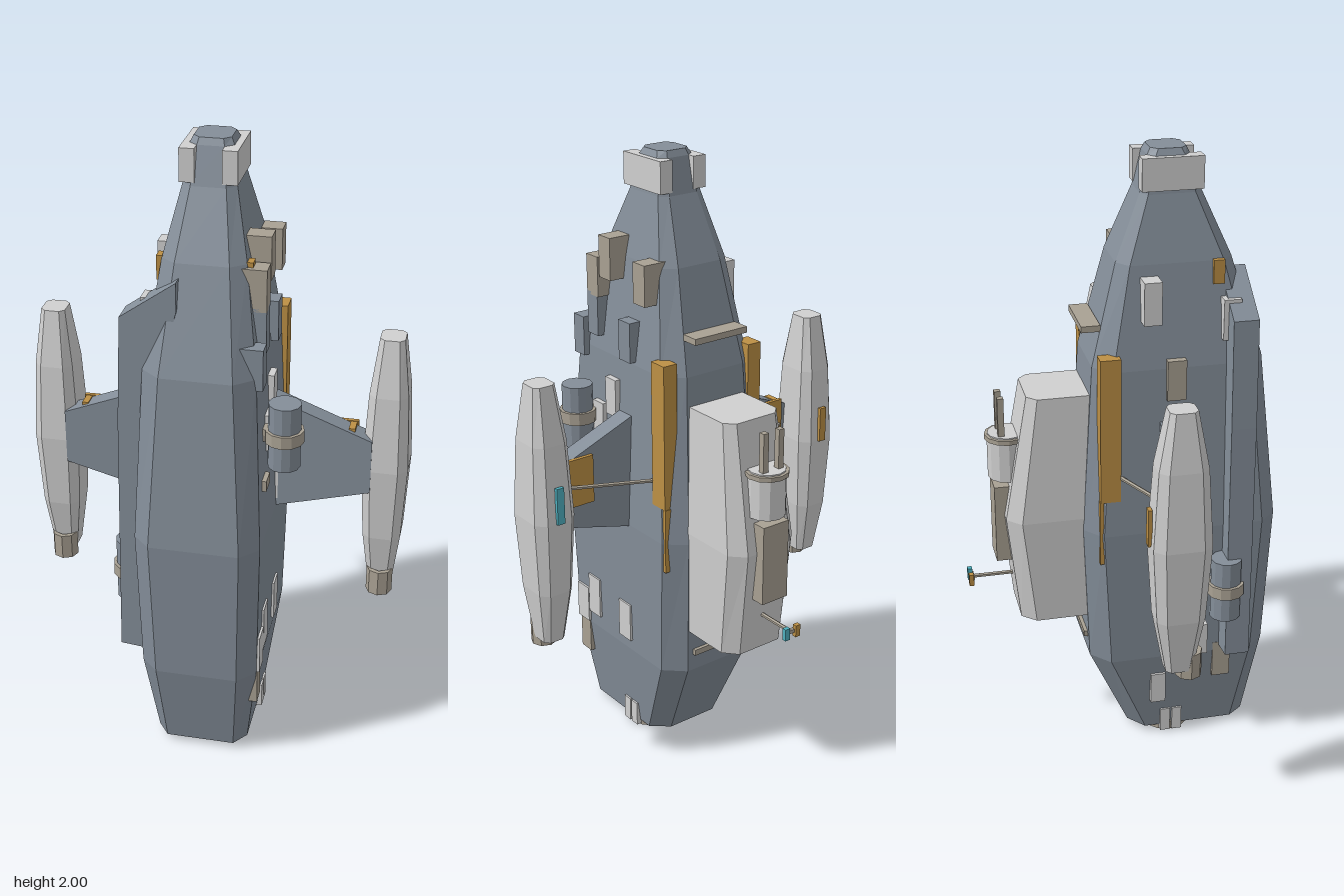
import * as THREE from 'three';

const mat = (name, color, side = THREE.FrontSide) => {
  const m = new THREE.MeshStandardMaterial({ color, flatShading: true, side });
  m.name = name;
  return m;
};

export function createModel() {
  const hullGrey = mat('hull grey', 0x848e99);
  const lightGrey = mat('light grey', 0xd0d0d0);
  const tan = mat('warm grey', 0xa9a193);
  const orange = mat('orange', 0xbd9045);
  const teal = mat('teal', 0x4fb0bf);
  const root = new THREE.Group();
  root.name = 'spaceship';

  const add = (name, geo, material, x = 0, y = 0, z = 0) => {
    const m = new THREE.Mesh(geo, material);
    m.name = name;
    m.position.set(x, y, z);
    root.add(m);
    return m;
  };
  // Box given by its extents on each axis
  const box = (name, material, [x0, x1], [y0, y1], [z0, z1]) =>
    add(name, new THREE.BoxGeometry(Math.abs(x1 - x0), y1 - y0, z1 - z0), material,
      (x0 + x1) / 2, (y0 + y1) / 2, (z0 + z1) / 2);
  // Round bar between two points
  const rod = (name, material, a, b, r) => {
    const p = new THREE.Vector3(...a), q = new THREE.Vector3(...b), d = q.clone().sub(p);
    const m = add(name, new THREE.CylinderGeometry(r, r, d.length(), 6), material);
    m.position.copy(p).add(q).multiplyScalar(0.5);
    m.quaternion.setFromUnitVectors(new THREE.Vector3(0, 1, 0), d.normalize());
    return m;
  };
  // Capped loft through rings of eight corners, from bottom to top.
  // Section: y, front half width, half width, front z, front corner z, back corner z, back z, back half width
  const loft = (sections) => {
    const rings = sections.map(([y, f, w, zF, zFs, zBs, zB, b]) =>
      [[f, zF], [w, zFs], [w, zBs], [b, zB], [-b, zB], [-w, zBs], [-w, zFs], [-f, zF]]
        .map(([x, z]) => [x, y, z]));
    const pos = [];
    const tri = (...p) => p.forEach((v) => pos.push(...v));
    for (let k = 0; k + 1 < rings.length; k++) {
      const lo = rings[k], up = rings[k + 1];
      for (let i = 0; i < 8; i++) {
        const j = (i + 1) % 8;
        tri(lo[i], lo[j], up[j]);
        tri(lo[i], up[j], up[i]);
      }
    }
    const bottom = rings[0], top = rings[rings.length - 1];
    for (let i = 1; i < 7; i++) {
      tri(bottom[0], bottom[i + 1], bottom[i]);
      tri(top[0], top[i], top[i + 1]);
    }
    const g = new THREE.BufferGeometry();
    g.setAttribute('position', new THREE.Float32BufferAttribute(pos, 3));
    g.computeVertexNormals();
    return g;
  };
  // Hollow ring around the y axis
  const ring = (outer, inner, h, sides) => new THREE.LatheGeometry(
    [[inner, 0], [outer, 0], [outer, h], [inner, h], [inner, 0]].map((p) => new THREE.Vector2(...p)), sides);
  const plate = (points, depth) => new THREE.ExtrudeGeometry(
    new THREE.Shape(points.map((p) => new THREE.Vector2(...p))), { depth, bevelEnabled: false });

  // Main hull
  add('hull', loft([
    [0.02, 0.11, 0.148, 0.42, 0.37, 0.07, 0.02, 0.09],
    [0.32, 0.13, 0.185, 0.475, 0.42, -0.055, -0.115, 0.12],
    [0.8, 0.14, 0.195, 0.495, 0.44, -0.08, -0.135, 0.13],
    [1.35, 0.11, 0.17, 0.44, 0.39, -0.045, -0.1, 0.11],
    [1.67, 0.08, 0.125, 0.34, 0.305, 0.015, -0.02, 0.08],
    [1.87, 0.052, 0.08, 0.25, 0.225, 0.08, 0.06, 0.052],
    [1.98, 0.04, 0.065, 0.215, 0.195, 0.105, 0.085, 0.04],
    [2.0, 0.035, 0.055, 0.205, 0.185, 0.115, 0.095, 0.035],
  ]), hullGrey);

  // Rear housing
  add('rearHousing', loft([
    [0.475, 0.115, 0.12, -0.06, -0.07, -0.29, -0.335, 0.08],
    [0.84, 0.125, 0.13, -0.06, -0.07, -0.33, -0.375, 0.085],
    [1.255, 0.1, 0.105, -0.06, -0.07, -0.27, -0.3, 0.075],
  ]), lightGrey);
  box('rearEquipmentBox', tan, [-0.05, 0.05], [0.675, 0.94], [-0.405, -0.33]);
  add('turret', new THREE.CylinderGeometry(0.062, 0.062, 0.14, 12), lightGrey, 0, 1.03, -0.355);
  add('turretRim', new THREE.CylinderGeometry(0.07, 0.07, 0.015, 12), tan, 0, 1.1, -0.355);
  add('turretTop', new THREE.CylinderGeometry(0.06, 0.06, 0.006, 12), lightGrey, 0, 1.109, -0.355);
  rod('antenna', tan, [0, 0.6, -0.32], [0, 0.6, -0.485], 0.007);
  box('antennaCrossbar', tan, [-0.02, 0.02], [0.594, 0.606], [-0.488, -0.476]);
  for (const y of [0.39, 1.47]) box('rearRail', tan, [-0.1, 0.1], [y - 0.01, y + 0.01], [-0.13, -0.07]);

  // Parts repeated on both sides
  for (const s of [1, -1]) {
    const sx = (a, b) => [s * a, s * b];
    const accent = s > 0 ? teal : orange;
    box('noseBracket', lightGrey, sx(0.04, 0.085), [1.88, 1.98], [0.06, 0.25]);
    box('turretBarrel', tan, sx(0.02, 0.04), [1.1, 1.24], [-0.385, -0.365]);
    box('antennaTip', accent, sx(0.012, 0.03), [0.58, 0.62], [-0.495, -0.48]);

    // Engine pods
    const pod = (y, w, d) => [y, w * 0.6, w, d, d * 0.65, -d * 0.65, -d, w * 0.6];
    add('enginePod', loft([pod(0.515, 0.038, 0.042), pod(0.7, 0.06, 0.075), pod(0.95, 0.072, 0.09),
      pod(1.2, 0.06, 0.075), pod(1.38, 0.038, 0.042)]), lightGrey, s * 0.53, 0, 0.075);
    add('podNozzle', ring(0.042, 0.027, 0.085, 8), tan, s * 0.53, 0.485, 0.11);
    box('podMarker', accent, sx(0.517, 0.543), [0.95, 1.07], [-0.024, -0.012]);

    // Pylons with braces
    const pylon = [[0.12, 0.775], [0.49, 0.875], [0.49, 1.055], [0.12, 1.2]].map(([x, y]) => [s * x, y]);
    add('pylon', plate(pylon, 0.065), hullGrey, 0, 0, 0.1);
    box('pylonPanel', orange, sx(0.335, 0.44), [0.93, 1.09], [0.088, 0.101]);
    box('pylonCap', orange, sx(0.415, 0.435), [1.05, 1.088], [0.09, 0.15]);
    rod('pylonBrace', tan, [s * 0.18, 1, -0.025], [s * 0.43, 1, 0.09], 0.007);

    // Orange side strips
    box('sideStrip', orange, sx(0.14, 0.19), [0.92, 1.4], [-0.09, -0.025]);
    box('stripTail', orange, sx(0.15, 0.19), [0.7, 0.92], [-0.092, -0.08]);
    box('upperMarker', orange, sx(0.1, 0.142), [1.6, 1.675], [0.27, 0.305]);

    // Stern rings and fins
    add('sternRing', ring(0.08, 0.065, 0.03, 12), tan, s * 0.075, 0, 0.155);
    add('sternRingLiner', ring(0.065, 0.055, 0.025, 12), lightGrey, s * 0.075, 0.002, 0.155);
    for (const z of [0.12, 0.16]) box('sternFin', lightGrey, sx(0.13, 0.163), [0.005, 0.09], [z, z + 0.033]);

    // Side tanks, set at different heights
    const y = s > 0 ? 1.135 : 0.6;
    add('sideTank', new THREE.CylinderGeometry(0.05, 0.05, 0.21, 12), hullGrey, s * 0.242, y, 0.31);
    add('tankBand', new THREE.CylinderGeometry(0.06, 0.06, 0.04, 12), tan, s * 0.242, y, 0.31);
    box('tankMount', tan, sx(0.16, 0.2), [y - 0.02, y + 0.02], [0.29, 0.33]);
  }

  // Armour plate on one side
  add('armourPlate', plate([[-0.065, 1.63], [-0.235, 1.51], [-0.25, 1.16], [-0.265, 0.35],
    [-0.17, 0.34], [-0.13, 1.3], [-0.065, 1.54]], 0.08), hullGrey, 0, 0, 0.31);

  // Hull fittings: material, inner x, outer x, y range, z range
  const fittings = [
    [tan, 0.09, 0.185, 1.6, 1.735, 0.19, 0.25],
    [tan, 0.09, 0.185, 1.56, 1.69, 0.01, 0.07],
    [tan, 0.1, 0.185, 1.53, 1.66, 0.26, 0.32],
    [hullGrey, 0.12, 0.185, 1.4, 1.54, 0.265, 0.32],
    [hullGrey, 0.12, 0.19, 1.315, 1.445, 0.34, 0.395],
    [hullGrey, 0.12, 0.19, 1.36, 1.49, 0.085, 0.145],
    [lightGrey, 0.15, 0.193, 1.155, 1.28, 0.165, 0.22],
    [lightGrey, 0.15, 0.195, 1.06, 1.18, 0.235, 0.29],
    [tan, 0.17, 0.2, 0.965, 1.0, 0.31, 0.37],
    [lightGrey, 0.17, 0.2, 0.82, 0.95, 0.105, 0.165],
    [lightGrey, 0.15, 0.195, 0.37, 0.515, 0.285, 0.35],
    [lightGrey, 0.15, 0.195, 0.36, 0.495, 0.105, 0.17],
    [lightGrey, 0.15, 0.195, 0.325, 0.455, 0.355, 0.42],
    [tan, 0.13, 0.187, 0.2, 0.33, 0.36, 0.415],
    [lightGrey, -0.1, -0.19, 1.5, 1.635, 0.045, 0.1],
    [lightGrey, -0.1, -0.18, 1.43, 1.56, 0.295, 0.35],
    [tan, -0.14, -0.19, 1.25, 1.38, 0.12, 0.18],
    [lightGrey, -0.16, -0.24, 0.35, 0.46, 0.165, 0.255],
    [tan, -0.14, -0.187, 0.22, 0.35, 0.29, 0.35],
    [lightGrey, -0.12, -0.185, 0.14, 0.25, 0.08, 0.13],
  ];
  for (const [m, x0, x1, y0, y1, z0, z1] of fittings) box('hullFitting', m, [x0, x1], [y0, y1], [z0, z1]);

  return root;
}
